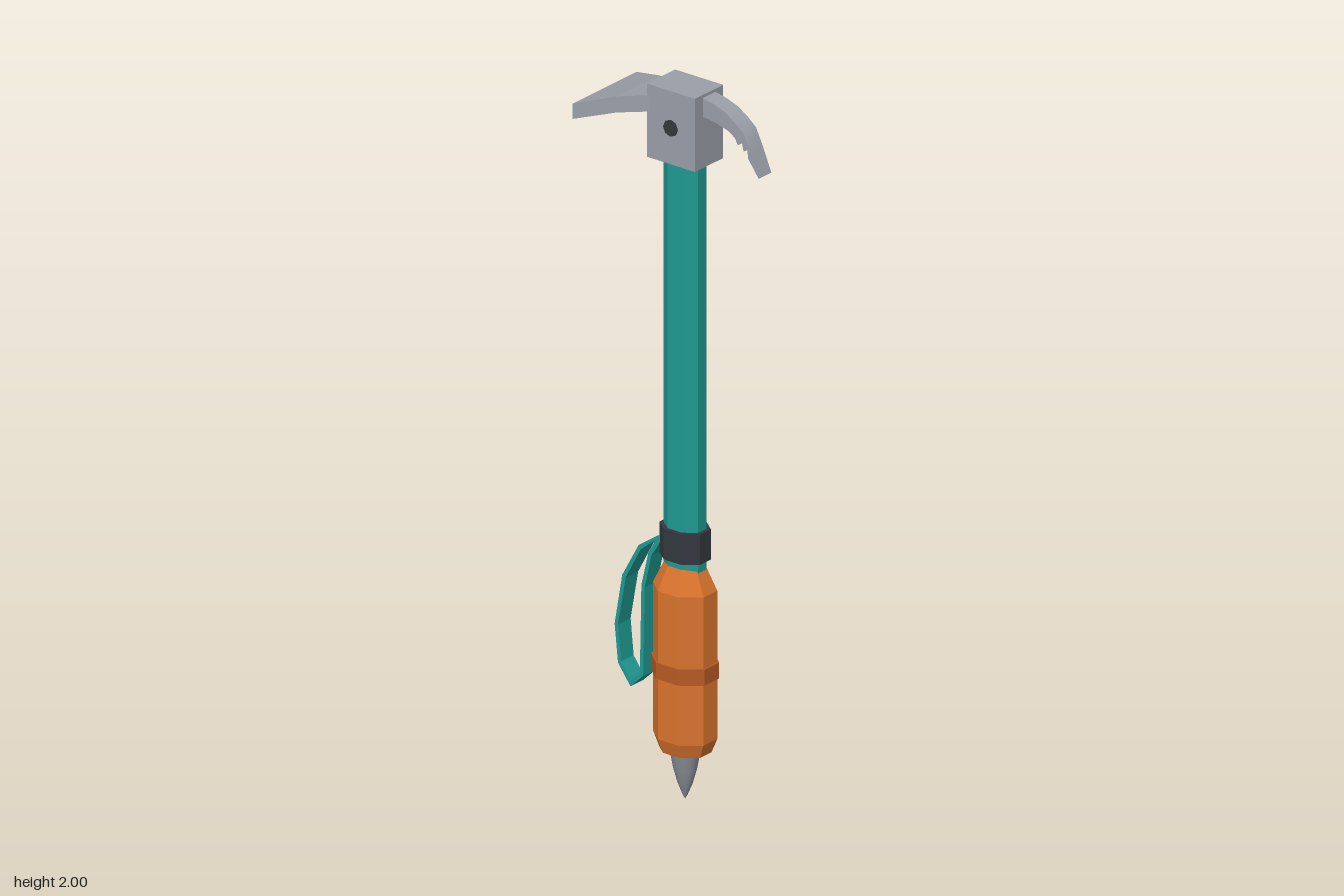
import * as THREE from 'three';
import { toCreasedNormals } from 'three/addons/utils/BufferGeometryUtils.js';

const mat = (name, color) => {
  const m = new THREE.MeshStandardMaterial({ color });
  m.name = name;
  return m;
};

// Flat-sided octagonal column; rows are [width fraction, y], bottom to top
function octagon(halfX, halfZ, rows) {
  const k = 1 / Math.cos(Math.PI / 8);
  const pts = rows.map(([r, y]) => new THREE.Vector2(r * k, y));
  const geo = new THREE.LatheGeometry(pts, 8, Math.PI / 8).scale(halfX, 1, halfZ).toNonIndexed();
  geo.computeVertexNormals();
  return geo;
}

// Closed side profile of [z, y] points, extruded across x and centred
function sideProfile(points, width, hole) {
  const vectors = (list) => list.map(([z, y]) => new THREE.Vector2(z, y));
  const shape = new THREE.Shape(vectors(points));
  if (hole) shape.holes.push(new THREE.Path(vectors(hole)));
  return new THREE.ExtrudeGeometry(shape, { depth: width, bevelEnabled: false })
    .translate(0, 0, -width / 2)
    .rotateY(-Math.PI / 2);
}

export function createModel() {
  const group = new THREE.Group();
  group.name = 'iceAxe';
  const steel = mat('steel', 0x9a9fa8);
  const teal = mat('teal', 0x209a92);
  const orange = mat('orange', 0xd9742e);
  const rust = mat('rust', 0xb85a24);
  const charcoal = mat('charcoal', 0x33383f);
  const spikeSteel = mat('spikeSteel', 0x8b9098);

  const add = (name, geometry, material) => {
    const mesh = new THREE.Mesh(geometry, material);
    mesh.name = name;
    group.add(mesh);
    return mesh;
  };

  // Shaft, collar and grip
  add('shaft', octagon(0.042, 0.057, [[0, 0.6], [1, 0.6], [1, 1.82], [0, 1.82]]), teal);
  add('collar', octagon(0.053, 0.067, [[0, 0.68], [1, 0.68], [1, 0.765], [0, 0.765]]), charcoal);
  add('grip', octagon(0.069, 0.083,
    [[0, 0.14], [0.82, 0.14], [1, 0.18], [1, 0.595], [0.64, 0.66], [0, 0.66]]), orange);
  add('gripBand', octagon(0.073, 0.088, [[0.9, 0.35], [1, 0.35], [1, 0.395], [0.9, 0.395]]), rust);

  // Spike
  const spike = [[0, 0], [0.006, 0.012], [0.018, 0.045], [0.028, 0.085], [0.038, 0.145]]
    .map(([r, y]) => new THREE.Vector2(r, y));
  add('spike', new THREE.LatheGeometry(spike, 20).scale(1, 1, 1.16), spikeSteel);

  // Head block with a bolt on each side
  add('headBlock', new THREE.BoxGeometry(0.116, 0.205, 0.158).translate(0, 1.8975, 0), steel);
  for (const side of [-1, 1]) {
    const bolt = add(side < 0 ? 'rightBolt' : 'leftBolt',
      toCreasedNormals(new THREE.CylinderGeometry(0.023, 0.023, 0.006, 8), 0.5), charcoal);
    bolt.rotation.z = Math.PI / 2;
    bolt.position.set(side * 0.059, 1.897, 0);
  }

  // Curved pick with teeth underneath
  const pick = sideProfile([
    [0.06, 1.992], [0.08, 1.991], [0.115, 1.984], [0.153, 1.971], [0.185, 1.951], [0.213, 1.928],
    [0.235, 1.882], [0.263, 1.815], [0.228, 1.862], [0.226, 1.885], [0.213, 1.878], [0.208, 1.9],
    [0.194, 1.89], [0.185, 1.908], [0.163, 1.922], [0.12, 1.934], [0.06, 1.942],
  ], 0.052);
  add('pick', toCreasedNormals(pick, 0.5), steel);

  // Adze, flaring sideways toward its cutting edge
  const adze = sideProfile([
    [-0.06, 1.972], [-0.06, 1.926], [-0.155, 1.908], [-0.265, 1.875], [-0.265, 1.918], [-0.155, 1.953],
  ], 2);
  const pos = adze.attributes.position;
  for (let i = 0; i < pos.count; i++) {
    const z = pos.getZ(i);
    const half = z > -0.1 ? 0.055 : z > -0.2 ? 0.087 : 0.131;
    pos.setX(i, pos.getX(i) * half);
  }
  adze.computeVertexNormals();
  add('adze', adze, steel);

  // Wrist strap: a thin ribbon loop behind the grip
  const outer = [[-0.055, 0.735], [-0.085, 0.715], [-0.132, 0.683], [-0.186, 0.585], [-0.211, 0.442],
    [-0.2, 0.335], [-0.159, 0.28], [-0.117, 0.32], [-0.112, 0.57], [-0.09, 0.665], [-0.055, 0.72]];
  const inner = [[-0.078, 0.71], [-0.125, 0.673], [-0.175, 0.58], [-0.2, 0.442],
    [-0.19, 0.341], [-0.158, 0.297], [-0.128, 0.326], [-0.123, 0.574], [-0.1, 0.67]];
  add('wristStrap', sideProfile(outer, 0.052, inner), teal);

  return group;
}
